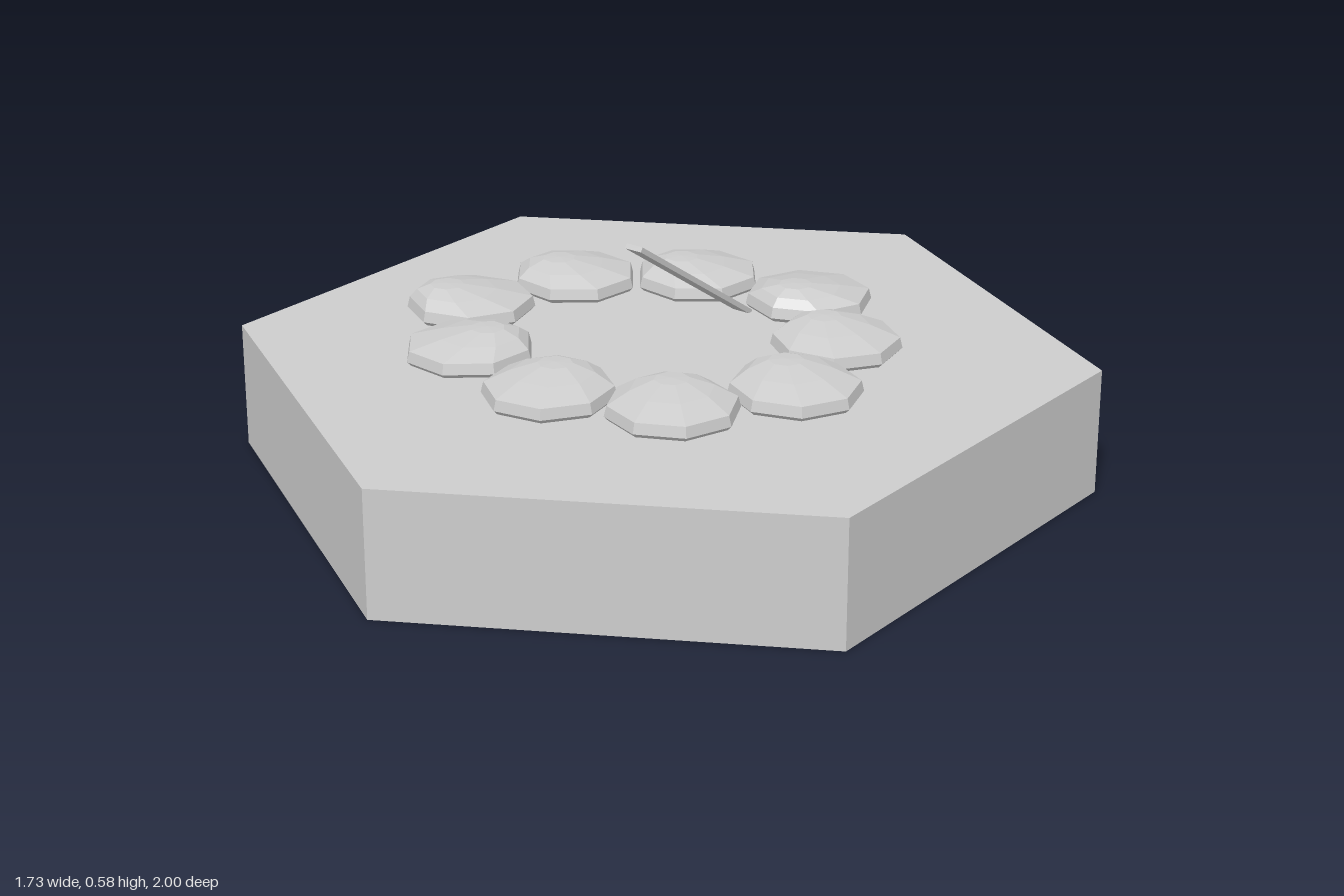
import * as THREE from 'three';

const stoneGrey = new THREE.MeshStandardMaterial({ color: 0xcccccc });
stoneGrey.name = 'stone grey';

// Gives every face its own flat normal
function faceted(geometry) {
  const flat = geometry.index ? geometry.toNonIndexed() : geometry;
  flat.computeVertexNormals();
  return flat;
}

// Eight-sided cut stone whose crown leans towards (dx, dz)
function stoneGeometry(dx, dz) {
  const profile = [[0, 0], [0.142, 0], [0.152, 0.01], [0.146, 0.035], [0.095, 0.055], [0.04, 0.069], [0, 0.071]];
  const geometry = new THREE.LatheGeometry(profile.map(([r, y]) => new THREE.Vector2(r, y)), 8);
  const p = geometry.attributes.position;
  for (let i = 0; i < p.count; i++) {
    const lean = THREE.MathUtils.clamp((p.getY(i) - 0.035) / 0.034, 0, 1);
    p.setX(i, p.getX(i) + dx * lean);
    p.setZ(i, p.getZ(i) + dz * lean);
  }
  return faceted(geometry);
}

export function createModel() {
  const model = new THREE.Group();
  model.name = 'sundial';

  // Hexagonal plinth with corners at front and back
  const base = new THREE.Mesh(faceted(new THREE.CylinderGeometry(1, 1, 0.3, 6)), stoneGrey);
  base.name = 'hexagonalBase';
  base.position.y = 0.15;
  model.add(base);

  // Ring of marker stones: x, z, clockwise turn in degrees, crown offset x and z
  const stones = [
    [0.10, -0.435, 0, 0, 0.055],
    [0.32, -0.235, 12, -0.045, -0.015],
    [0.41, 0.05, 4, -0.045, -0.025],
    [0.265, 0.305, -4, -0.03, -0.035],
    [-0.01, 0.395, 12, -0.015, -0.04],
    [-0.315, 0.315, -18, 0.03, -0.03],
    [-0.51, 0.09, 6, -0.04, 0.04],
    [-0.43, -0.2, -16, -0.03, 0.025],
    [-0.2, -0.39, -16, -0.03, 0.025],
  ];
  stones.forEach(([x, z, turn, dx, dz], i) => {
    const a = THREE.MathUtils.degToRad(turn);
    // Crown offset expressed in the stone's own turned frame
    const lx = dx * Math.cos(a) + dz * Math.sin(a);
    const lz = -dx * Math.sin(a) + dz * Math.cos(a);
    const stone = new THREE.Mesh(stoneGeometry(lx, lz), stoneGrey);
    stone.name = `markerStone${i + 1}`;
    stone.position.set(x, 0.3, z);
    stone.rotation.y = -a;
    model.add(stone);
  });

  // Slanted pointer rising towards the front
  const start = new THREE.Vector3(0, 0.3, -0.31);
  const end = new THREE.Vector3(0, 0.573, 0.107);
  const pointer = new THREE.Mesh(new THREE.BoxGeometry(0.045, 0.012, start.distanceTo(end)), stoneGrey);
  pointer.name = 'pointer';
  pointer.position.copy(start).add(end).multiplyScalar(0.5);
  pointer.lookAt(end);
  model.add(pointer);

  return model;
}
